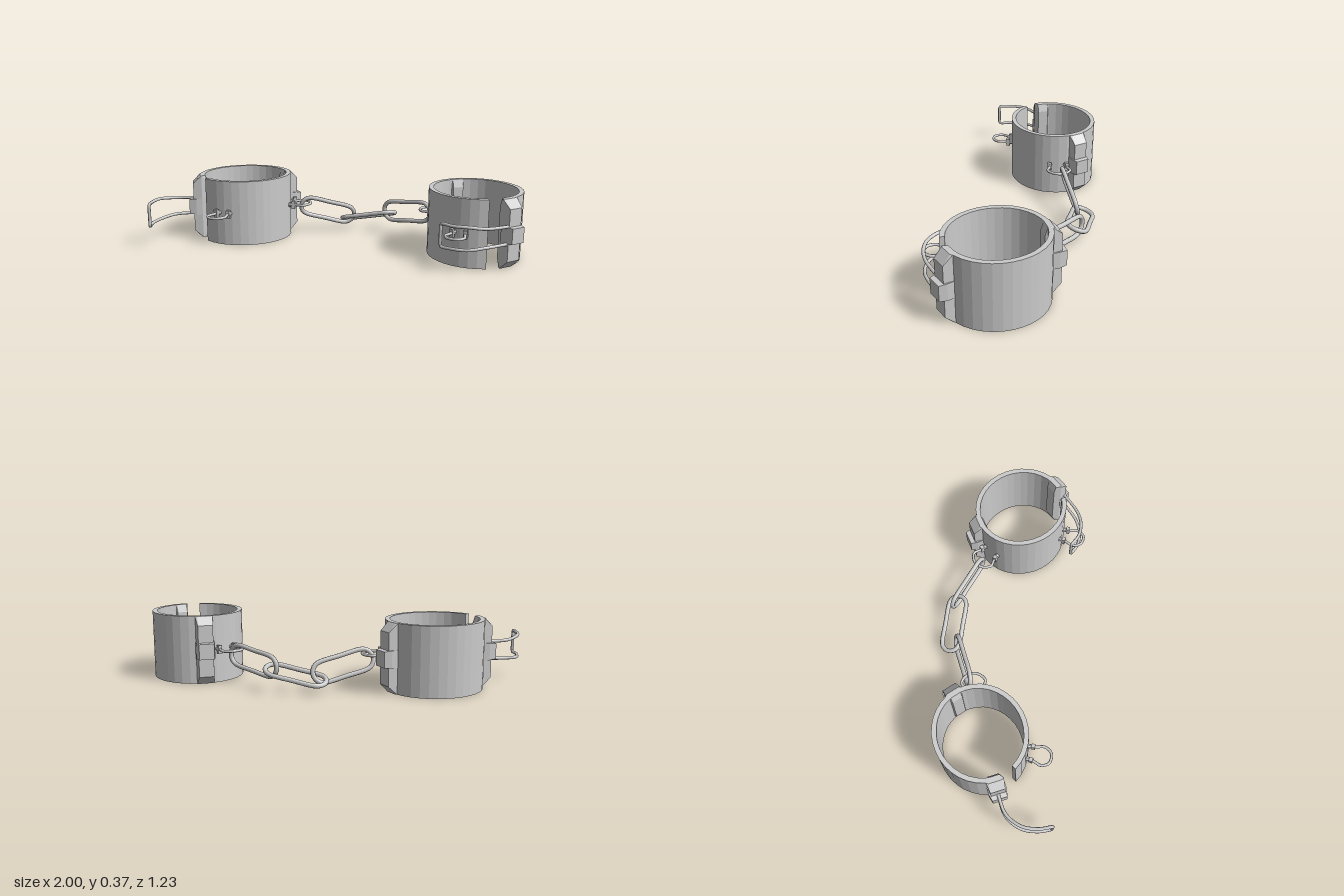
import * as THREE from 'three';
import { ConvexGeometry } from 'three/addons/geometries/ConvexGeometry.js';

const H = 0.37, MID = 0.187, WALL = 0.026;
const LONG = 0.266, SHORT = 0.248;      // outer radii of the slightly oval cuffs
const V = (x, y, z) => new THREE.Vector3(x, y, z);
const flat = new THREE.MeshStandardMaterial({ color: 0xcccccc, flatShading: true });
const smooth = new THREE.MeshStandardMaterial({ color: 0xcccccc });

function add(parent, name, geometry, material = flat) {
  const mesh = new THREE.Mesh(geometry, material);
  mesh.name = name;
  parent.add(mesh);
  return mesh;
}

// Round wire through a list of points
function wire(points, radius, segments, closed = false) {
  const curve = new THREE.CatmullRomCurve3(points, closed, 'centripetal');
  return new THREE.TubeGeometry(curve, segments, radius, 8, closed);
}

// Full-height rib with chamfered ends; local +z points out of the cuff
function ribGeometry() {
  const pts = [];
  for (const [y, inner, outer] of [[0, -0.028, 0.002], [0.045, -0.042, 0.044], [H - 0.045, -0.042, 0.044], [H, -0.028, 0.002]]) {
    for (const s of [-1, 1]) {
      pts.push(V(s * 0.03, y, inner), V(s * 0.047, y, -0.005), V(s * (outer > 0.02 ? 0.04 : 0.035), y, outer));
    }
  }
  return new ConvexGeometry(pts);
}

// Tapered block at mid height on a rib
function blockGeometry() {
  const pts = [];
  for (const s of [-1, 1]) {
    for (const t of [-1, 1]) {
      pts.push(V(s * 0.05, MID + t * 0.046, -0.005), V(s * 0.05, MID + t * 0.046, 0.03), V(s * 0.04, MID + t * 0.042, 0.07));
    }
  }
  return new ConvexGeometry(pts);
}

// One cuff: angles in degrees from +x towards +z, turned by "offset", mirrored by "sign"
function makeCuff(name, cx, cz, offset, sign, haspPath) {
  const cuff = new THREE.Group();
  cuff.name = name;
  const angle = deg => THREE.MathUtils.degToRad(offset + sign * deg);
  const axis = angle(82);
  const at = (deg, out, y = MID) => {
    const a = angle(deg), c = Math.cos(a - axis), s = Math.sin(a - axis);
    const r = LONG * SHORT / Math.hypot(SHORT * c, LONG * s) + out;
    return V(cx + r * Math.cos(a), y, cz + r * Math.sin(a));
  };
  // Places a geometry on the cuff surface, facing outwards
  const mount = (label, geometry, deg, out = 0) => {
    const mesh = add(cuff, label, geometry);
    mesh.position.copy(at(deg, out, 0));
    mesh.rotation.y = Math.PI / 2 - angle(deg);
  };

  // Open band
  const outline = [], steps = 32, start = 97, end = 431;
  for (let i = 0; i <= steps; i++) outline.push(at(start + (end - start) * i / steps, 0));
  for (let i = steps; i >= 0; i--) outline.push(at(start + (end - start) * i / steps, -WALL));
  const shape = new THREE.Shape(outline.map(p => new THREE.Vector2(p.x, -p.z)));
  add(cuff, 'band', new THREE.ExtrudeGeometry(shape, { depth: H, bevelEnabled: false }).rotateX(-Math.PI / 2));

  // Ribs and blocks at the hinge and at the clasp
  for (const [label, deg] of [['hinge', 267], ['clasp', 71]]) {
    mount(label + 'Rib', ribGeometry(), deg);
    mount(label + 'Block', blockGeometry(), deg);
  }

  // Staples with their feet
  for (const [label, a, b, reach] of [['claspStaple', 121, 136, 0.125], ['chainStaple', 232, 252, 0.115]]) {
    const m = (a + b) / 2;
    add(cuff, label, wire([at(a, 0), at(a, 0.04), at(a - 1, reach * 0.7), at(m - 4, reach), at(m + 4, reach),
      at(b + 1, reach * 0.7), at(b, 0.04), at(b, 0)], 0.008, 28), smooth);
    for (const deg of [a, b]) {
      mount(label + 'Foot', new THREE.BoxGeometry(0.022, 0.045, 0.02).translate(0, MID, 0), deg, 0.026);
      mount(label + 'Stem', new THREE.CylinderGeometry(0.011, 0.014, 0.03, 8).rotateX(Math.PI / 2).translate(0, MID, 0), deg, 0.008);
    }
  }

  // Curved hasp: two rails joined at the tip
  const halves = [0.046, 0.05, 0.06, 0.06, 0.058];
  const rail = s => haspPath.map(([x, z], i) => V(x, MID + s * halves[i], z));
  const [tx, tz] = haspPath[haspPath.length - 1];
  const tip = [V(tx, MID + 0.04, tz), V(tx, MID - 0.04, tz)];
  add(cuff, 'hasp', wire([...rail(1), ...tip, ...rail(-1).reverse()], 0.009, 56), smooth);
  return cuff;
}

// Chain link: stadium loop lying along "axis", widened along "hint"
function linkGeometry(center, axis, hint) {
  const u = axis.clone().normalize();
  const w = hint.clone().addScaledVector(u, -hint.dot(u)).normalize();
  const r = 0.056, half = 0.109, pts = [];
  for (const s of [1, -1]) {
    for (let i = 0; i <= 6; i++) {
      const a = -Math.PI / 2 + Math.PI * i / 6;
      pts.push(center.clone().addScaledVector(u, s * (half + r * Math.cos(a))).addScaledVector(w, s * r * Math.sin(a)));
    }
    pts.push(center.clone().addScaledVector(w, s * r));
  }
  return wire(pts, 0.013, 48, true);
}

export function createModel() {
  const model = new THREE.Group();
  model.name = 'shackles';

  model.add(makeCuff('rightCuff', -0.43, -0.375, 253, -1,
    [[-0.73, -0.388], [-0.85, -0.385], [-0.935, -0.33], [-0.977, -0.25], [-0.99, -0.18]]));
  model.add(makeCuff('leftCuff', 0.75, 0.275, 0, 1,
    [[0.82, 0.57], [0.68, 0.602], [0.59, 0.592], [0.52, 0.55], [0.48, 0.49]]));

  const chain = new THREE.Group();
  chain.name = 'chain';
  const links = [
    [V(0.055, 0.132, -0.325), V(1, -0.27, 0.05), V(0, 1, 0.25)],
    [V(0.303, 0.092, -0.3), V(0.315, 0.068, 0.175), V(-0.175, 0.12, 0.315)],
    [V(0.498, 0.146, -0.147), V(0.2, 0.045, 0.255), V(0, 1, 0)],
  ];
  for (const link of links) add(chain, 'chainLink', linkGeometry(...link), smooth);
  model.add(chain);
  return model;
}
